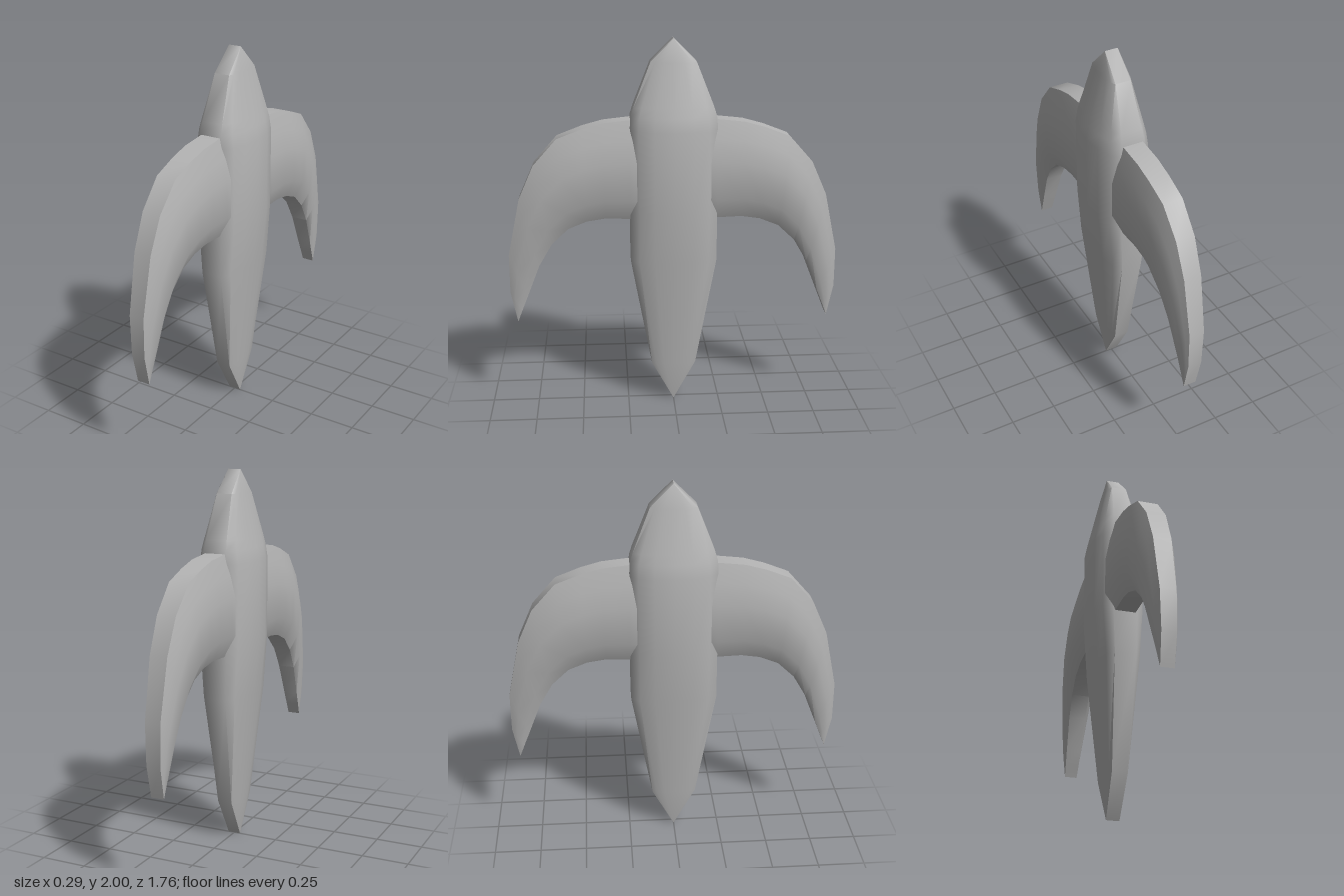
import * as THREE from 'three';
import { toCreasedNormals } from 'three/addons/utils/BufferGeometryUtils.js';

// Skin a list of closed rings, each an array of [x, y, z]
function loft(rings) {
  const n = rings[0].length, index = [];
  for (let i = 0; i < rings.length - 1; i++) {
    for (let j = 0; j < n; j++) {
      const k = (j + 1) % n;
      const a = i * n + j, b = i * n + k, c = a + n, d = b + n;
      index.push(a, c, b, b, c, d);
    }
  }
  const g = new THREE.BufferGeometry();
  g.setAttribute('position', new THREE.Float32BufferAttribute(rings.flat(2), 3));
  g.setIndex(index);
  return toCreasedNormals(g, 1.0);
}

// Body: [height, half depth in z, half width at centre, half width at rim]
const bodySections = [
  [0, 0, 0.035, 0.035], [0.22, 0.12, 0.058, 0.04], [0.82, 0.23, 0.117, 0.058],
  [1.1, 0.23, 0.145, 0.066], [1.53, 0.23, 0.145, 0.066], [1.6, 0.225, 0.13, 0.062],
  [1.65, 0.21, 0.118, 0.058], [1.88, 0.12, 0.064, 0.042], [2, 0, 0.035, 0.035],
];
const bodyProfile = [[-1, 0], [-0.8, 0.55], [-0.45, 0.86], [0, 1], [0.45, 0.86], [0.8, 0.55], [1, 0]];

function bodyGeometry() {
  return loft(bodySections.map(([y, depth, wide, rim]) => {
    const side = bodyProfile.map(([s, f]) => [rim + (wide - rim) * f, y, s * depth]);
    return [...side, ...side.slice().reverse().map(([x, h, z]) => [-x, h, z])];
  }));
}

// Wing: outer and inner edge as [z, y], from root to tip
const outerEdge = [[0.16, 1.585], [0.23, 1.585], [0.37, 1.57], [0.48, 1.54], [0.61, 1.49],
  [0.735, 1.35], [0.815, 1.17], [0.88, 0.86], [0.88, 0.65], [0.845, 0.48]];
const innerEdge = [[0.16, 1.055], [0.23, 1.055], [0.36, 1.06], [0.46, 1.045], [0.56, 1.005],
  [0.65, 0.92], [0.72, 0.8], [0.785, 0.633], [0.818, 0.55], [0.845, 0.48]];
const wingProfile = [[0, 0], [0.2, 0.58], [0.42, 1], [0.8, 1], [1, 0]];

function wingGeometry() {
  return loft(outerEdge.map(([z0, y0], i) => {
    const [z1, y1] = innerEdge[i];
    const rise = (y0 + y1) / 2 - 0.48;
    const wide = Math.min(0.1, 0.035 + rise * 0.085);
    const rim = Math.min(0.055, 0.035 + rise * 0.024);
    const side = wingProfile.map(([s, f]) =>
      [rim + (wide - rim) * f, y0 + (y1 - y0) * s, z0 + (z1 - z0) * s]);
    return [...side, ...side.slice().reverse().map(([x, y, z]) => [-x, y, z])];
  }));
}

export function createModel() {
  const grey = new THREE.MeshStandardMaterial({ color: 0xb4b4b4 });
  grey.name = 'grey';
  const model = new THREE.Group();
  model.name = 'wingedFigure';

  const body = new THREE.Mesh(bodyGeometry(), grey);
  body.name = 'body';
  model.add(body);

  // Matching wings, turned half a circle about the body
  const wing = wingGeometry();
  ['frontWing', 'backWing'].forEach((name, i) => {
    const mesh = new THREE.Mesh(wing, grey);
    mesh.name = name;
    mesh.rotation.y = i * Math.PI;
    model.add(mesh);
  });
  return model;
}
